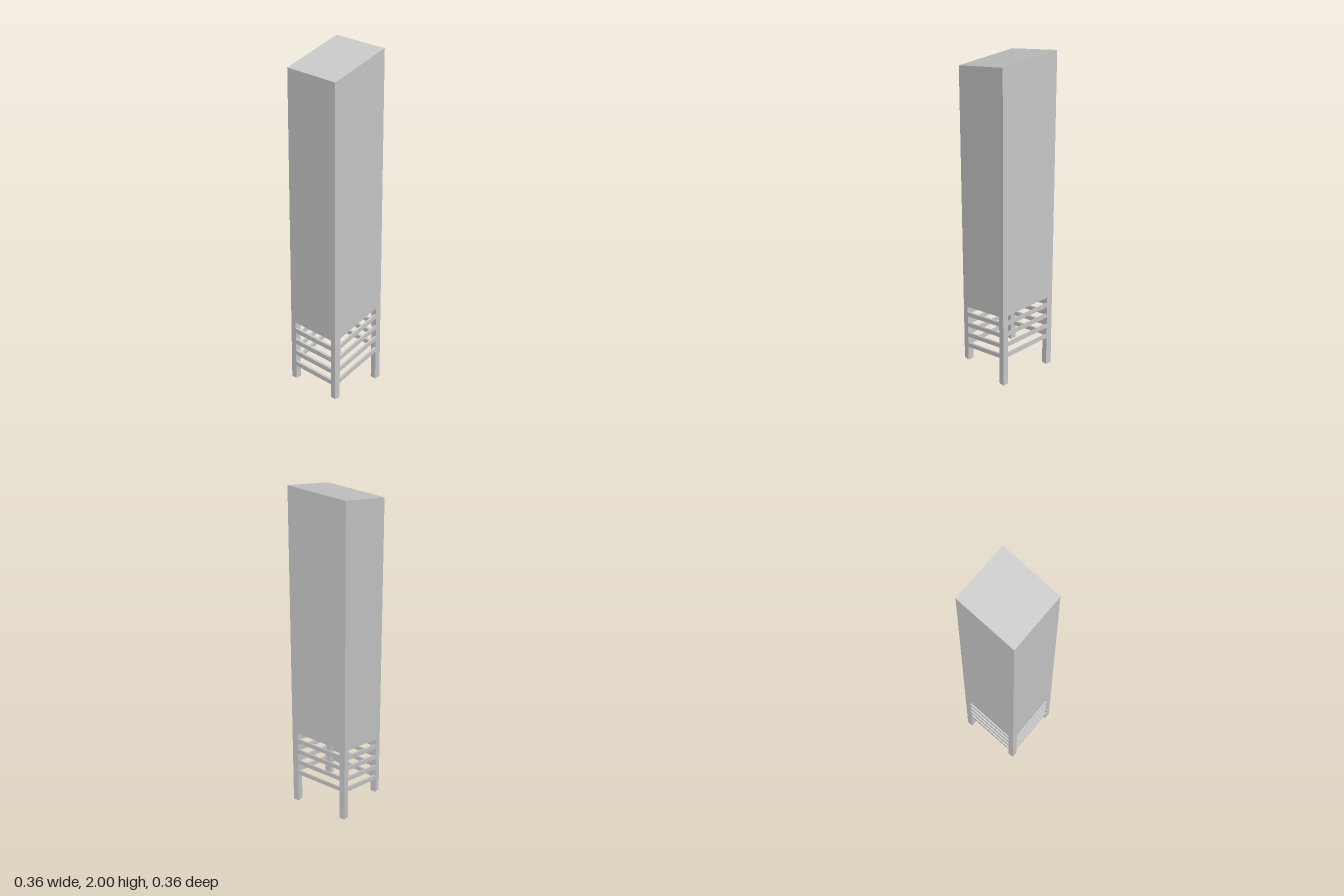
import * as THREE from 'three';

const HALF = 0.182;    // half width of the tower
const LEG = 0.036;     // leg thickness
const RAIL = 0.012;    // rail depth
const SLOPE = 0.294;   // everything rises towards the back

const material = new THREE.MeshStandardMaterial({ color: 0xcccccc, flatShading: true });

// Box whose top (and bottom, unless flat) follows the slope; heights are given at z = 0
function slopedBox(name, x, z, width, depth, bottom, top, flatBottom = false) {
  const geometry = new THREE.BoxGeometry(width, top - bottom, depth);
  geometry.translate(x, (top + bottom) / 2, z);
  const p = geometry.attributes.position;
  const middle = (top + bottom) / 2;
  for (let i = 0; i < p.count; i++) {
    if (flatBottom && p.getY(i) < middle) continue;
    p.setY(i, p.getY(i) - SLOPE * p.getZ(i));
  }
  geometry.computeVertexNormals();
  const mesh = new THREE.Mesh(geometry, material);
  mesh.name = name;
  return mesh;
}

export function createModel() {
  const model = new THREE.Group();
  model.name = 'slantedTower';

  // Tall body with parallel sloping roof and underside
  const bodyBottom = 0.424;
  model.add(slopedBox('body', 0, 0, HALF * 2, HALF * 2, bodyBottom, 1.9465));

  // Four corner legs standing on the ground
  const legCentre = HALF - LEG / 2;
  for (const sx of [-1, 1]) {
    for (const sz of [-1, 1]) {
      const name = (sz > 0 ? 'front' : 'back') + (sx > 0 ? 'Left' : 'Right') + 'Leg';
      model.add(slopedBox(name, sx * legCentre, sz * legCentre, LEG, LEG, 0, bodyBottom, true));
    }
  }

  // Four rings of rails between the legs, flush with the outer faces
  const span = (HALF - LEG) * 2;
  const railCentre = HALF - RAIL / 2;
  for (let i = 0; i < 4; i++) {
    const bottom = 0.138 + i * 0.073;
    const top = bottom + 0.027;
    const ring = new THREE.Group();
    ring.name = `railRing${i + 1}`;
    for (const s of [-1, 1]) {
      ring.add(slopedBox(s > 0 ? 'frontRail' : 'backRail', 0, s * railCentre, span, RAIL, bottom, top));
      ring.add(slopedBox(s > 0 ? 'leftRail' : 'rightRail', s * railCentre, 0, RAIL, span, bottom, top));
    }
    model.add(ring);
  }

  return model;
}
